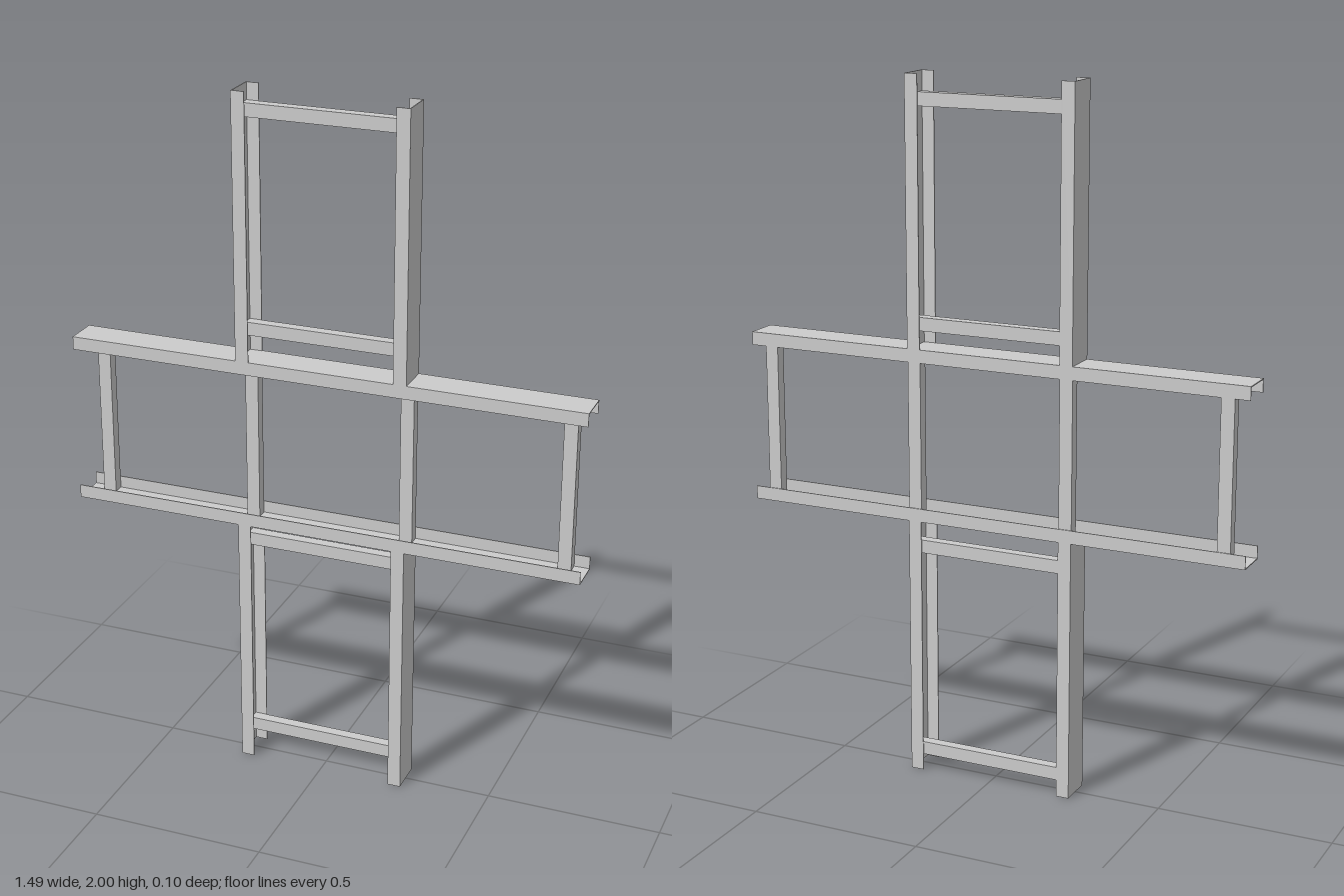
import * as THREE from 'three';

const DEPTH = 0.1;       // rail depth along z
const FLANGE = 0.038;    // flange width
const T = 0.003;         // sheet thickness
const HALF = 0.248;      // half width of each ladder arm
const ARM = 0.747;       // half length of the crosswise rails
const MID = 1;           // height of the crossing

const material = new THREE.MeshStandardMaterial({ color: 0xcccccc });

// C-channel running along x, web on top at y = 0, flanges hanging down
function channelGeometry(length) {
  const h = DEPTH / 2;
  const shape = new THREE.Shape([
    [-h, 0], [-h, -FLANGE], [-h + T, -FLANGE], [-h + T, -T],
    [h - T, -T], [h - T, -FLANGE], [h, -FLANGE], [h, 0],
  ].map(([x, y]) => new THREE.Vector2(x, y)));
  const geometry = new THREE.ExtrudeGeometry(shape, { depth: length, bevelEnabled: false });
  return geometry.translate(0, 0, -length / 2).rotateY(Math.PI / 2);
}

export function createModel() {
  const group = new THREE.Group();

  const add = (name, geometry, x, y, z = 0, turn = 0) => {
    const mesh = new THREE.Mesh(geometry, material);
    mesh.name = name;
    mesh.position.set(x, y, z);
    mesh.rotation.z = turn;
    group.add(mesh);
  };

  // Continuous crosswise rails, webs facing outward
  const crossRail = channelGeometry(2 * ARM);
  add('upperCrossRail', crossRail, 0, MID + HALF);
  add('lowerCrossRail', crossRail, 0, MID - HALF, 0, Math.PI);

  // Upright rails butting against the crosswise rails
  const uprightLength = 1 - HALF;
  const upright = channelGeometry(uprightLength);
  for (const side of [-1, 1]) {
    for (const end of [-1, 1]) {
      const y = MID + end * (HALF + uprightLength / 2);
      add(end > 0 ? 'upperUprightRail' : 'lowerUprightRail', upright,
        side * HALF, y, 0, -side * Math.PI / 2);
    }
  }

  // Rungs sit between the webs, against the back flanges
  const span = 2 * (HALF - T);
  const rungDepth = 0.031;
  const rungZ = -DEPTH / 2 + T + rungDepth / 2;
  const flatRung = new THREE.BoxGeometry(span, FLANGE, rungDepth);
  const standingRung = new THREE.BoxGeometry(FLANGE, span, rungDepth);
  for (const s of [-1, 1]) {
    for (const d of [0.32, 0.933]) add('uprightArmRung', flatRung, 0, MID + s * d, rungZ);
    for (const d of [HALF - FLANGE / 2, 0.685]) add('crossArmRung', standingRung, s * d, MID, rungZ);
  }

  return group;
}
